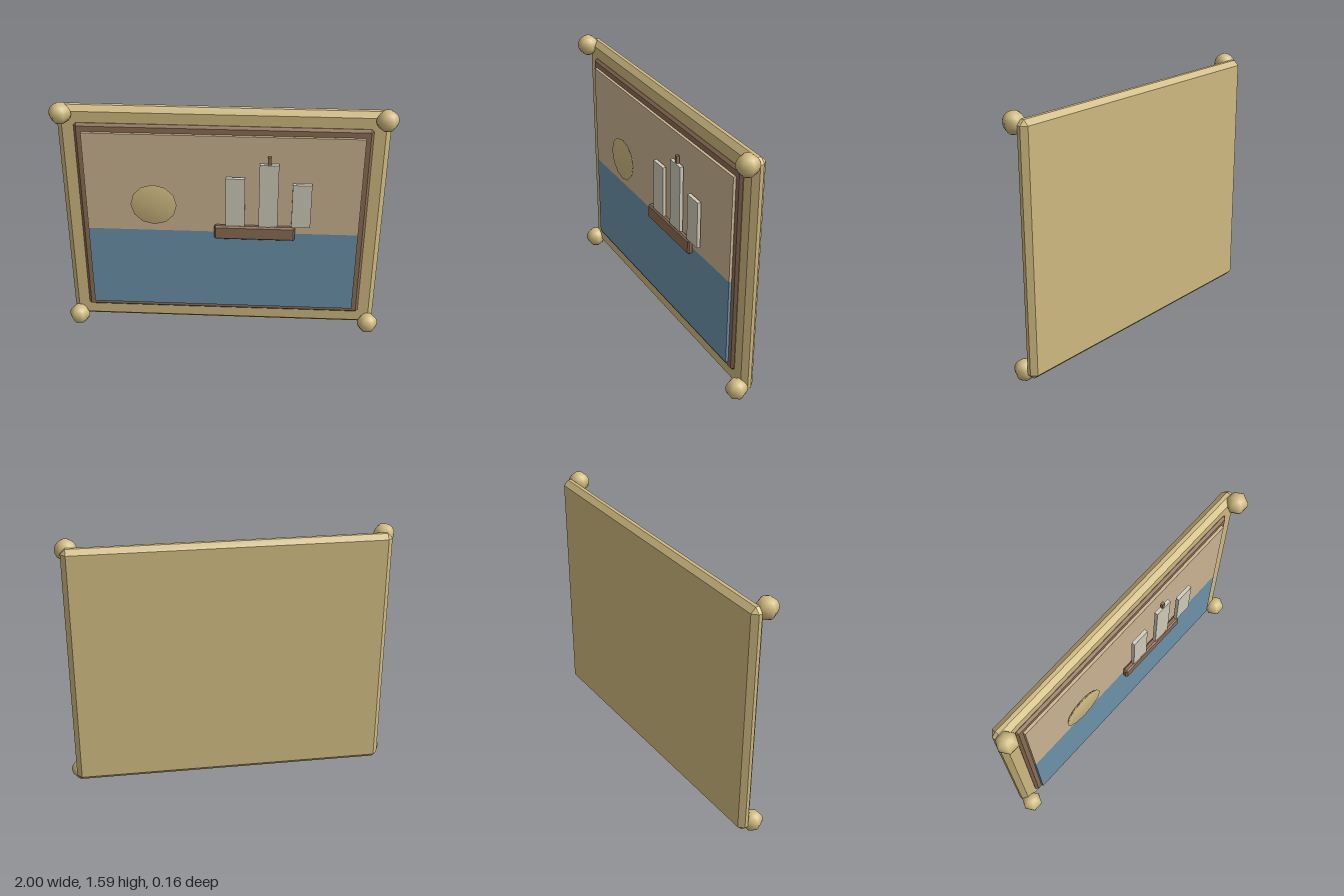
import * as THREE from 'three';
import { mergeVertices } from 'three/addons/utils/BufferGeometryUtils.js';
import { ConvexGeometry } from 'three/addons/geometries/ConvexGeometry.js';

const material = (name, color) => {
  const m = new THREE.MeshStandardMaterial({ color });
  m.name = name;
  return m;
};

// Box from its bounds
function slab(x0, x1, y0, y1, z0, z1) {
  return new THREE.BoxGeometry(x1 - x0, y1 - y0, z1 - z0)
    .translate((x0 + x1) / 2, (y0 + y1) / 2, (z0 + z1) / 2);
}

// Box from its bounds, with every edge chamfered by c
function chamferedSlab(x0, x1, y0, y1, z0, z1, c) {
  const half = [(x1 - x0) / 2, (y1 - y0) / 2, (z1 - z0) / 2];
  const points = [];
  for (const sx of [-1, 1]) for (const sy of [-1, 1]) for (const sz of [-1, 1]) {
    for (let axis = 0; axis < 3; axis++) {
      const h = half.map((v, i) => (i === axis ? v : v - c));
      points.push(new THREE.Vector3(sx * h[0], sy * h[1], sz * h[2]));
    }
  }
  return new ConvexGeometry(points)
    .translate((x0 + x1) / 2, (y0 + y1) / 2, (z0 + z1) / 2);
}

export function createModel() {
  const model = new THREE.Group();
  model.name = 'framedSeascape';

  const gold = material('gold', 0xcfba80);
  const wood = material('brown wood', 0x8c6e55);
  const skyTan = material('sky tan', 0xcbb492);
  const seaBlue = material('sea blue', 0x6c93aa);
  const canvas = material('sail canvas', 0xcfccba);

  const add = (name, geometry, mat, parent = model) => {
    const mesh = new THREE.Mesh(geometry, mat);
    mesh.name = name;
    parent.add(mesh);
    return mesh;
  };

  // Frame: chamfered backing and raised inner moulding
  add('outerFrame', chamferedSlab(-0.967, 0.967, 0.038, 1.56, -0.082, 0, 0.03), gold);
  add('innerMoulding', chamferedSlab(-0.868, 0.868, 0.14, 1.46, -0.02, 0.018, 0.015), wood);

  // Corner knobs
  for (const x of [-0.935, 0.935]) for (const y of [0.067, 1.53]) {
    const knob = add('cornerKnob', new THREE.SphereGeometry(0.065, 6, 12), gold);
    knob.position.set(x, y, 0.025);
  }

  // Picture
  add('sky', slab(-0.825, 0.825, 0.75, 1.41, 0.01, 0.035), skyTan);
  add('sea', slab(-0.825, 0.825, 0.185, 0.75, 0.01, 0.035), seaBlue);

  // Sun: a thin tapered disc with softened edges
  let disc = new THREE.CylinderGeometry(0.139, 0.125, 0.015, 12).rotateX(Math.PI / 2);
  disc.deleteAttribute('normal');
  disc.deleteAttribute('uv');
  disc = mergeVertices(disc);
  disc.computeVertexNormals();
  add('sun', disc, gold).position.set(-0.414, 0.946, 0.05);

  // Ship
  const ship = new THREE.Group();
  ship.name = 'ship';
  model.add(ship);
  add('hull', chamferedSlab(-0.05, 0.44, 0.715, 0.81, 0.034, 0.07, 0.01), wood, ship);
  add('mast', slab(0.265, 0.285, 0.79, 1.29, 0.045, 0.062), wood, ship);
  for (const [x, top] of [[0.077, 1.145], [0.275, 1.242], [0.473, 1.112]]) {
    add('sail', slab(x - 0.057, x + 0.057, 0.815, top, 0.045, 0.067), canvas, ship);
  }
  return model;
}
